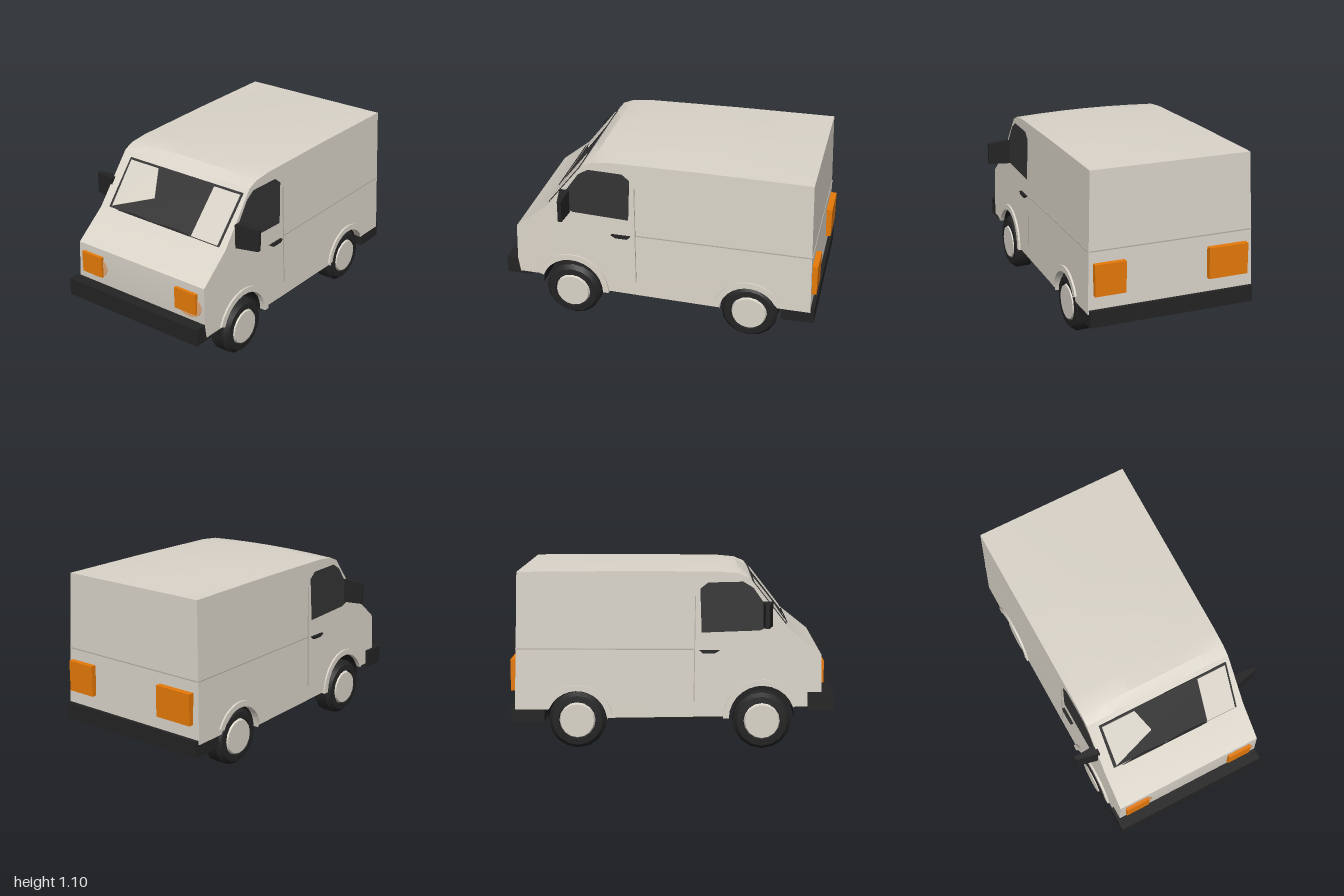
import * as THREE from 'three';
import { toCreasedNormals } from 'three/addons/utils/BufferGeometryUtils.js';

const mat = (name, color, side = THREE.FrontSide) =>
  Object.assign(new THREE.MeshStandardMaterial({ color, side }), { name });

const FRONT = { z: 0.548, y: 0.2, r: 0.2 };
const REAR = { z: -0.57, y: 0.185, r: 0.182 };

// half width of the body: narrower towards the nose and the roof
const halfWidth = (y, z) => 0.5 - 0.017 * z - 0.03 * (y - 0.4);

const arc = ({ z, y, r }, a0, a1, n = 12) => Array.from({ length: n + 1 }, (_, i) => {
  const a = a0 + (a1 - a0) * i / n;
  return [z + r * Math.cos(a), y + r * Math.sin(a)];
});
const shapeOf = (pts) => new THREE.Shape(pts.map(([a, b]) => new THREE.Vector2(a, b)));

// extrudes a (z, y) outline across x from -1 to 1, then lets a rule place x and y
function sideExtrude(pts, rule, steps = 1) {
  const g = new THREE.ExtrudeGeometry(shapeOf(pts), { depth: 2, steps, bevelEnabled: false });
  g.translate(0, 0, -1).rotateY(-Math.PI / 2);
  const p = g.attributes.position;
  for (let i = 0; i < p.count; i++) {
    const [x, y] = rule(p.getX(i), p.getY(i), p.getZ(i));
    p.setXY(i, x, y);
  }
  return toCreasedNormals(g, 0.4);
}

export function createModel() {
  const body = mat('cream paint', 0xdad4c9);
  const rubber = mat('black rubber', 0x242424);
  const glass = mat('dark glass', 0x343434);
  const under = mat('underbody black', 0x1e1e1e, THREE.DoubleSide);
  const amber = mat('amber lamp', 0xe67a08);
  const glow = mat('amber tint', 0xe2a878);
  const seam = mat('seam grey', 0xb3ada3);

  const van = new THREE.Group();
  van.name = 'van';
  const add = (name, geo, m, x = 0, y = 0, z = 0) => {
    const mesh = new THREE.Mesh(geo, m);
    mesh.name = name;
    mesh.position.set(x, y, z);
    van.add(mesh);
    return mesh;
  };
  const box = (name, w, h, d, m, x, y, z) => add(name, new THREE.BoxGeometry(w, h, d), m, x, y, z);
  // thin plate lying on one side wall
  const plate = (name, pts, m, s, t = 0.004) =>
    add(name, sideExtrude(pts, (u, y, z) => [s * halfWidth(y, z) + u * t, y]), m);

  // body shell with both wheel arches cut out; the roof is cambered except at the rear edge
  const profile = [
    [-0.92, 1.085], [-0.945, 0.25], [-0.745, 0.25],
    ...arc(REAR, Math.PI - 0.4, 0),
    [-0.387, 0.2], [0.347, 0.21],
    ...arc(FRONT, Math.PI, 0.38),
    [0.765, 0.27], [0.89, 0.27], [0.905, 0.36], [0.9, 0.59], [0.7, 0.75],
    [0.465, 1.05], [0.4, 1.077], [0.28, 1.088], [-0.3, 1.09],
  ];
  add('bodyShell', sideExtrude(profile, (u, y, z) =>
    [u * halfWidth(y, z), y > 1.06 && z > -0.9 ? y + 0.014 * (1 - u * u) : y], 6), body);

  // underbody, wheel well liners and their central walls
  box('floor', 0.96, 0.02, 0.73, under, 0, 0.2, -0.02);
  box('rearFloor', 0.96, 0.02, 0.18, under, 0, 0.245, -0.84);
  box('frontFloor', 0.92, 0.02, 0.12, under, 0, 0.262, 0.82);
  for (const a of [FRONT, REAR]) {
    const liner = new THREE.CylinderGeometry(a.r - 0.004, a.r - 0.004, 0.955, 20, 1, true, 0, Math.PI);
    add('wheelWell', liner, under, 0, a.y, a.z).rotation.z = Math.PI / 2;
    add('wheelWellWall', sideExtrude(arc(a, 0, Math.PI), (u, y) => [u * 0.3, Math.max(y, 0.235)]), under);
  }

  // windscreen, its light panes and wipers, built flat and leaned back
  const screen = new THREE.Group();
  screen.name = 'windscreen';
  screen.position.set(0, 0.75, 0.7);
  screen.rotation.x = -Math.atan2(0.235, 0.3);
  van.add(screen);
  const pane = (name, pts, m, z) => {
    const g = new THREE.ExtrudeGeometry(shapeOf(pts), { depth: 0.005, bevelEnabled: false });
    const mesh = new THREE.Mesh(g, m);
    mesh.name = name;
    mesh.position.z = z;
    screen.add(mesh);
  };
  pane('windscreenGlass', [[-0.415, 0.015], [0.43, 0.005], [0.447, 0.345], [-0.407, 0.345]], glass, 0);
  pane('windscreenPaneRight', [[-0.395, 0.025], [-0.12, 0.15], [-0.178, 0.33], [-0.393, 0.33]], body, 0.004);
  pane('windscreenPaneLeft', [[0.225, 0.012], [0.418, 0.01], [0.434, 0.33], [0.246, 0.33]], body, 0.004);
  pane('wipers', [[-0.36, 0.01], [0.22, 0.006], [0.2, 0.016], [0.08, 0.022], [-0.06, 0.012], [-0.2, 0.024]], rubber, 0.008);

  for (const s of [-1, 1]) {
    // door window, seams and handle
    plate('doorWindow', [[0.182, 0.722], [0.53, 0.735], [0.605, 0.765], [0.575, 0.87], [0.49, 0.99],
      [0.43, 1.027], [0.22, 1.022], [0.173, 0.985]], glass, s);
    plate('doorSeam', [[0.134, 0.3], [0.139, 0.3], [0.147, 0.94], [0.142, 0.94]], seam, s, 0.003);
    plate('beltSeam', [[-0.932, 0.618], [0.136, 0.618], [0.136, 0.624], [-0.932, 0.624]], seam, s, 0.004);
    plate('doorHandle', [[0.17, 0.615], [0.19, 0.598], [0.26, 0.598], [0.29, 0.615]], rubber, s, 0.018);

    // raised arch lips
    for (const [a, a0, a1] of [[FRONT, 0.35, Math.PI], [REAR, 0.15, Math.PI - 0.5]]) {
      const outer = { ...a, r: a.r + 0.036 };
      plate('archLip', [...arc(outer, a0, a1), ...arc(a, a1, a0)], body, s, 0.012);
    }

    // wheels
    for (const { z } of [FRONT, REAR]) {
      const wheel = new THREE.Group();
      wheel.name = 'wheel';
      wheel.position.set(s * 0.435, 0.18, z);
      wheel.rotation.z = -s * Math.PI / 2;
      van.add(wheel);
      const tyre = new THREE.LatheGeometry([[0, -0.055], [0.11, -0.055], [0.115, -0.07], [0.15, -0.07],
        [0.175, -0.045], [0.175, 0.04], [0.152, 0.067], [0.115, 0.07], [0.108, 0.045]]
        .map(([r, h]) => new THREE.Vector2(r, h)), 16);
      const parts = [['tyre', toCreasedNormals(tyre, 0.5), rubber, 0],
        ['hubCap', new THREE.CylinderGeometry(0.102, 0.114, 0.03, 16), body, 0.059]];
      for (const [name, g, m, y] of parts) {
        const mesh = new THREE.Mesh(g, m);
        mesh.name = name;
        mesh.position.y = y;
        wheel.add(mesh);
      }
    }

    // mirrors, tapering outwards and swept back
    const mg = new THREE.BoxGeometry(0.145, 0.15, 0.06);
    const p = mg.attributes.position;
    for (let i = 0; i < p.count; i++) {
      if (p.getX(i) * s > 0) {
        p.setY(i, p.getY(i) * 0.9);
        p.setZ(i, p.getZ(i) * 0.4 - 0.012);
      }
    }
    mg.computeVertexNormals();
    add('mirror', mg, rubber, 0.006 + s * 0.542, 0.818 - s * 0.015, 0.58);

    // headlamps with a tinted patch behind
    box('headlamp', 0.155, 0.133, 0.03, amber, s * 0.36 - 0.006, 0.477, 0.906);
    const patch = add('headlampTint', new THREE.CylinderGeometry(1, 1, 0.006, 20), glow, s * 0.36 + 0.012, 0.46 - s * 0.008, 0.904);
    patch.scale.set(0.09, 1, 0.074);
    patch.rotation.x = Math.PI / 2;
  }

  // rear lamps
  box('rearLampLeft', 0.19, 0.19, 0.04, amber, 0.39, 0.455, -0.95);
  box('rearLampRight', 0.25, 0.19, 0.04, amber, -0.35, 0.455, -0.953);

  // rear seam and bumpers
  box('rearSeam', 1.01, 0.006, 0.008, seam, 0, 0.621, -0.935);
  box('frontBumper', 0.99, 0.11, 0.155, rubber, -0.01, 0.305, 0.9);
  box('rearBumper', 1.03, 0.1, 0.2, rubber, 0, 0.225, -0.868);

  // the whole van stands slightly turned
  van.rotation.y = -0.045;
  van.position.x = 0.02;
  van.position.y = -0.005;
  const model = new THREE.Group();
  model.name = 'deliveryVan';
  model.add(van);
  return model;
}
